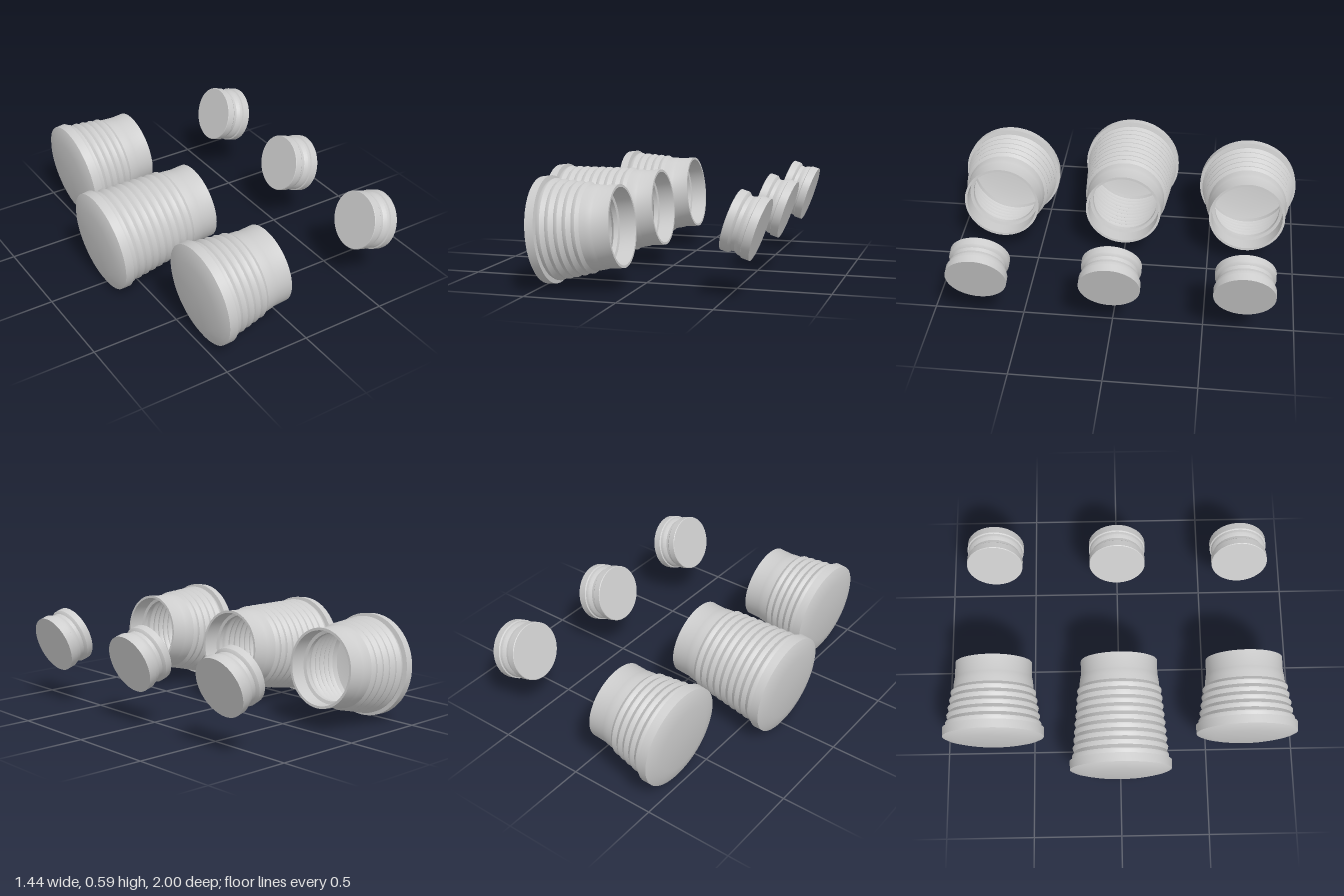
import * as THREE from 'three';
import { toCreasedNormals } from 'three/addons/utils/BufferGeometryUtils.js';

const SEGMENTS = 64;
const grey = new THREE.MeshStandardMaterial({ color: 0xcccccc });
grey.name = 'light grey';

// Turns a list of [radius, height] pairs into a lathe with crisp edges
function turned(profile, name) {
  const points = profile.map(([r, y]) => new THREE.Vector2(r, y));
  const geometry = toCreasedNormals(new THREE.LatheGeometry(points, SEGMENTS), 0.45);
  const mesh = new THREE.Mesh(geometry, grey);
  mesh.name = name;
  return mesh;
}

// Ribbed cup: mouth at y = 0, closed base at y = -length
function cup(length, ribs, name) {
  const band = -length + 0.075;    // front edge of the collar at the base
  const ribEnd = -0.155;           // where the ribs meet the neck
  const step = (ribEnd - band) / ribs;

  // Rib crests and valleys, from the collar to the neck
  const ribbed = [];
  for (let i = 0; i < ribs; i++) {
    const y = band + i * step;
    const crest = THREE.MathUtils.lerp(0.274, 0.238, (i + 0.5) / ribs);
    ribbed.push([crest - 0.009, y + step * 0.08]);
    ribbed.push([crest - 0.001, y + step * 0.4]);
    ribbed.push([crest, y + step * 0.6]);
  }

  const outside = [
    [0, -length], [0.186, -length],
    [0.225, -length + 0.008], [0.262, -length + 0.017],
    [0.284, -length + 0.027], [0.286, band],
    ...ribbed,
    [0.227, ribEnd], [0.225, -0.125], [0.221, -0.095], [0.218, -0.085], [0.218, 0],
  ];
  const inside = [
    [0.204, 0], [0.204, -0.09], [0.186, -0.095], [0.186, -0.12], [0.212, -0.14],
    ...ribbed.slice().reverse().map(([r, y]) => [r - 0.016, y]),
    [0.25, -length + 0.035], [0.18, -length + 0.018], [0, -length + 0.018],
  ];
  return turned([...outside, ...inside], name);
}

// Solid plug with a waist, outer face at y = 0
function plug(name) {
  return turned([
    [0, -0.16], [0.159, -0.16], [0.162, -0.157], [0.162, -0.118],
    [0.155, -0.11], [0.148, -0.105], [0.146, -0.085],
    [0.157, -0.065], [0.158, -0.048], [0.165, -0.044],
    [0.165, 0], [0, 0],
  ], name);
}

export function createModel() {
  const model = new THREE.Group();
  model.name = 'cupsAndPlugs';
  const rows = [
    { z: -0.714, length: 0.454, ribs: 5, label: 'back' },
    { z: 0, length: 0.65, ribs: 9, label: 'middle' },
    { z: 0.714, length: 0.454, ribs: 5, label: 'front' },
  ];
  for (const { z, length, ribs, label } of rows) {
    // Cups lie on their sides, mouths tipped slightly up
    const body = cup(length, ribs, label + 'Cup');
    body.rotation.z = THREE.MathUtils.degToRad(-84.75);
    body.position.set(-0.06, 0.348, z);
    // Plugs stand off from the mouths, tipped down
    const stopper = plug(label + 'Plug');
    stopper.rotation.z = THREE.MathUtils.degToRad(-107.6);
    stopper.position.set(0.67, 0.362, z);
    model.add(body, stopper);
  }
  return model;
}
